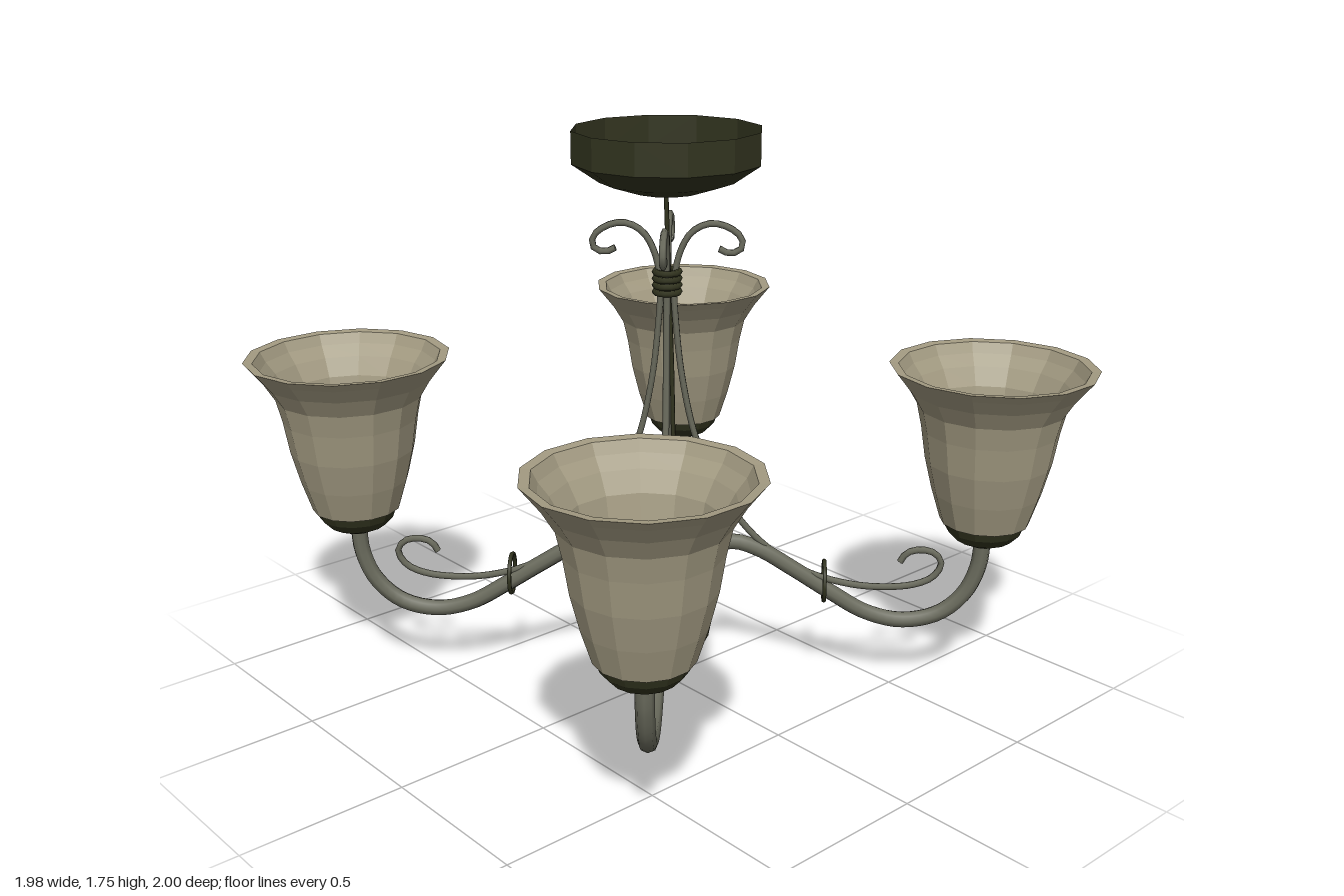
import * as THREE from 'three';

const mat = (color, flatShading = true) =>
  new THREE.MeshStandardMaterial({ color, flatShading, side: THREE.DoubleSide });
const dark = mat(0x32341f);
const glass = mat(0xa39b82);
const metal = mat(0x696a5c, false);
const darkSmooth = mat(0x32341f, false);

const ARM = 0.688;          // x and z distance of each shade from the centre
const DIAG = Math.SQRT2;    // arms run along the diagonals

function add(parent, name, geometry, material, x = 0, y = 0, z = 0) {
  const mesh = new THREE.Mesh(geometry, material);
  mesh.name = name;
  mesh.position.set(x, y, z);
  parent.add(mesh);
  return mesh;
}

const lathe = (profile, sides) =>
  new THREE.LatheGeometry(profile.map(([r, y]) => new THREE.Vector2(r, y)), sides);

// Tube through points, with small discs closing both ends
function rod(parent, name, points, radius, segments, sides, material) {
  const curve = new THREE.CatmullRomCurve3(points.map((p) => new THREE.Vector3(...p)), false, 'centripetal');
  add(parent, name, new THREE.TubeGeometry(curve, segments, radius, sides), material);
  for (const t of [0, 1]) {
    const p = curve.getPointAt(t);
    const cap = add(parent, name + 'End', new THREE.CircleGeometry(radius, sides), material, p.x, p.y, p.z);
    cap.quaternion.setFromUnitVectors(new THREE.Vector3(0, 0, 1), curve.getTangentAt(t));
  }
}

// One arm in the xy plane, with its scroll wire and binding ring
function buildArm() {
  const arm = new THREE.Group();
  const radial = (pts) => pts.map(([x, y]) => [x * DIAG, y, 0]);

  rod(arm, 'armTube', radial([
    [0.07, 0.29], [0.073, 0.37], [0.092, 0.44], [0.14, 0.474], [0.2, 0.452],
    [0.28, 0.385], [0.36, 0.312], [0.44, 0.246], [0.52, 0.221], [0.6, 0.247],
    [0.655, 0.318], [0.682, 0.41], [ARM, 0.51],
  ]), 0.026, 48, 8, metal);

  rod(arm, 'scrollWire', radial([
    [0.512, 0.418], [0.525, 0.447], [0.555, 0.46], [0.588, 0.448], [0.602, 0.415],
    [0.585, 0.37], [0.545, 0.343], [0.48, 0.332], [0.4, 0.34], [0.3, 0.383],
    [0.2, 0.483], [0.12, 0.63], [0.065, 0.8], [0.035, 0.98], [0.02, 1.15],
    [0.015, 1.3], [0.027, 1.39], [0.052, 1.45], [0.09, 1.475], [0.13, 1.462],
    [0.155, 1.43], [0.153, 1.4], [0.13, 1.387], [0.108, 1.4],
  ]), 0.0105, 90, 6, metal);

  const ring = add(arm, 'bindingRing', new THREE.TorusGeometry(0.062, 0.007, 6, 18), darkSmooth, 0.347 * DIAG, 0.348, 0);
  ring.rotation.y = Math.PI / 2;
  return arm;
}

export function createModel() {
  const model = new THREE.Group();
  model.name = 'chandelier';

  // Ceiling canopy, an open shallow bowl
  add(model, 'canopy', lathe([[0, 1.565], [0.1, 1.568], [0.2, 1.6], [0.28, 1.655], [0.28, 1.75]], 12), dark);

  // Slightly slack cord from canopy to body
  rod(model, 'cord', [
    [-0.005, 1.57, 0], [-0.004, 1.3, -0.01], [0, 1, -0.02], [0.001, 0.7, -0.022],
    [-0.015, 0.56, -0.022], [-0.032, 0.45, -0.018], [-0.02, 0.38, -0.01], [0, 0.32, 0],
  ], 0.007, 40, 6, darkSmooth);

  // Stacked collar rings holding the wires together
  for (let i = 0; i < 4; i++) {
    const collar = add(model, 'collarRing', new THREE.TorusGeometry(0.036, 0.01, 6, 14), darkSmooth, 0, 1.27 + i * 0.02, 0);
    collar.rotation.x = Math.PI / 2;
  }

  // Central body and finial
  add(model, 'body', lathe([
    [0, 0.058], [0.055, 0.06], [0.1, 0.093], [0.132, 0.155], [0.147, 0.235], [0.153, 0.33], [0, 0.33],
  ], 14), dark);
  add(model, 'finial', new THREE.SphereGeometry(0.032, 12, 8), dark, 0, 0.032, 0);

  // Bell shade with wall thickness, and the cup beneath it
  const shadeShape = lathe([
    [0, 0.565], [0.135, 0.565], [0.165, 0.66], [0.19, 0.76], [0.206, 0.86], [0.222, 0.93],
    [0.255, 0.985], [0.29, 1.03], [0.31, 1.055], [0.282, 1.052], [0.265, 1.02], [0.237, 0.985],
    [0.205, 0.93], [0.19, 0.86], [0.174, 0.76], [0.15, 0.66], [0.126, 0.58], [0, 0.58],
  ], 14);
  const cupShape = lathe([[0, 0.485], [0.045, 0.487], [0.088, 0.507], [0.116, 0.537], [0.127, 0.567], [0, 0.567]], 14);

  for (let i = 0; i < 4; i++) {
    const angle = Math.PI / 4 + (i * Math.PI) / 2;
    const arm = buildArm();
    arm.name = 'arm' + (i + 1);
    arm.rotation.y = angle;
    model.add(arm);

    const x = Math.cos(angle) * ARM * DIAG;
    const z = -Math.sin(angle) * ARM * DIAG;
    add(model, 'shade', shadeShape, glass, x, 0, z);
    add(model, 'shadeCup', cupShape, dark, x, 0, z);
  }
  return model;
}
